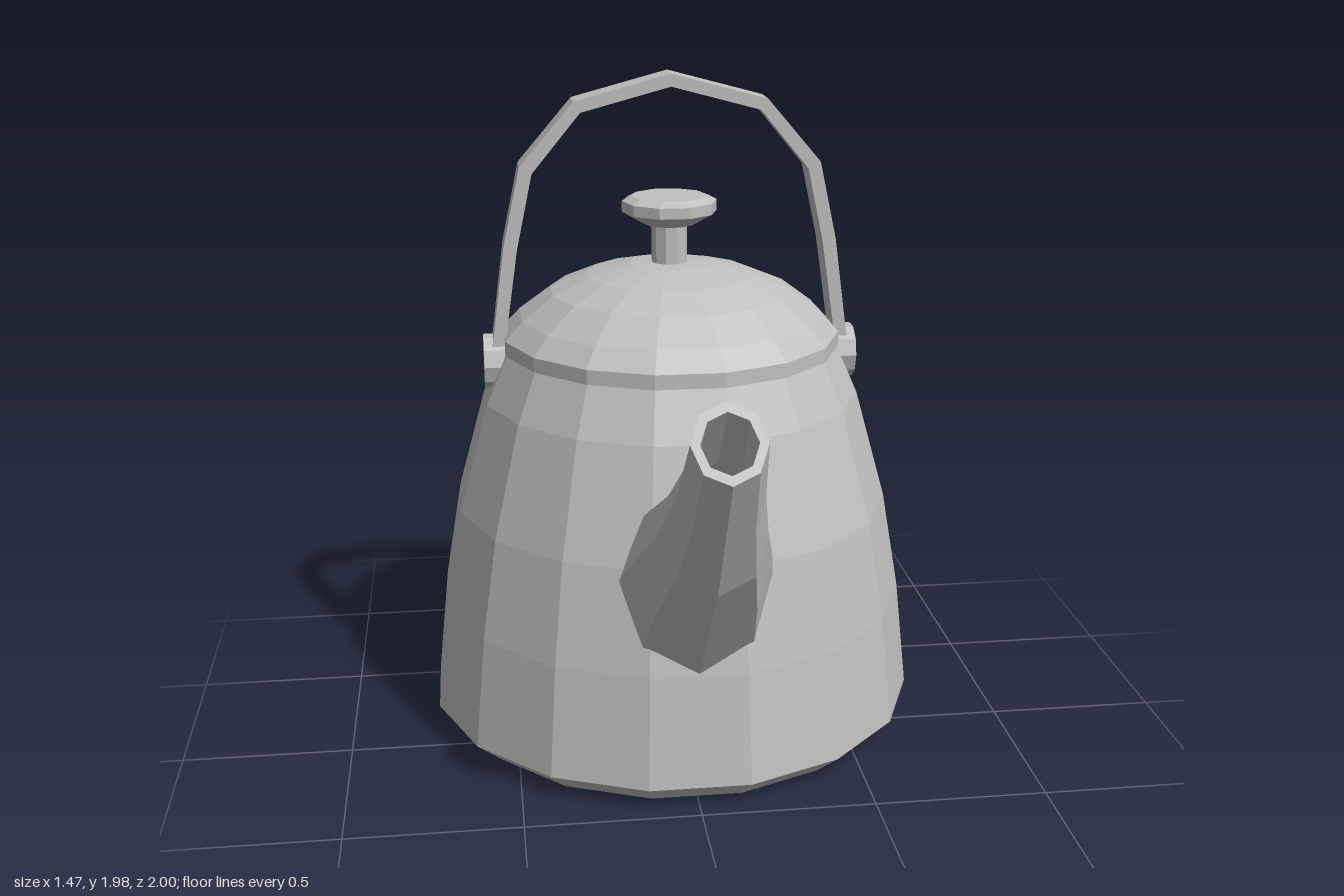
import * as THREE from 'three';

const CENTRE_Z = -0.265; // axis of the kettle body

export function createModel() {
  const group = new THREE.Group();
  const metal = new THREE.MeshStandardMaterial({ color: 0xc0c0c0, flatShading: true });
  metal.name = 'greyMetal';

  const add = (name, geometry, x = 0, y = 0, z = CENTRE_Z) => {
    const mesh = new THREE.Mesh(geometry, metal);
    mesh.name = name;
    mesh.position.set(x, y, z);
    group.add(mesh);
    return mesh;
  };

  // Lathe turned half a side, so that flats face the front
  const lathe = (profile, sides) => new THREE.LatheGeometry(
    profile.map(([r, y]) => new THREE.Vector2(r, y)), sides, Math.PI / sides);

  // Tapering body with a bevelled foot
  add('body', lathe([[0, 0], [0.67, 0], [0.75, 0.07], [0.713, 0.4], [0.66, 0.7],
    [0.567, 1.03], [0.5, 1.18], [0, 1.18]], 16));

  // Domed lid with an upright rim
  add('lid', lathe([[0, 1.174], [0.507, 1.174], [0.507, 1.217], [0.455, 1.272], [0.36, 1.343],
    [0.25, 1.39], [0.12, 1.42], [0, 1.427]], 16));

  // Lid knob on a short stem
  add('knob', lathe([[0, 1.41], [0.053, 1.41], [0.053, 1.538], [0.075, 1.538], [0.141, 1.575],
    [0.141, 1.607], [0.112, 1.622], [0, 1.622]], 10));

  // Flat strap handle, half outline mirrored
  const outer = [[0.548, 1.13], [0.532, 1.2], [0.492, 1.49], [0.441, 1.72], [0.282, 1.905]];
  const inner = [[0.51, 1.13], [0.495, 1.2], [0.453, 1.48], [0.405, 1.7], [0.262, 1.873]];
  const flip = (points) => points.map(([x, y]) => [-x, y]).reverse();
  const outline = [...outer, [0, 1.98], ...flip(outer),
    ...flip(inner).reverse(), [0, 1.943], ...[...inner].reverse()];
  const strap = new THREE.Shape(outline.map(([x, y]) => new THREE.Vector2(x, y)));
  const strapGeometry = new THREE.ExtrudeGeometry(strap, { depth: 0.106, bevelEnabled: false });
  add('handle', strapGeometry, 0, 0, CENTRE_Z - 0.053);

  // Round handle mounts on both sides
  for (const side of [1, -1]) {
    const mount = new THREE.CylinderGeometry(0.081, 0.081, 0.1, 10);
    mount.rotateZ(Math.PI / 2);
    add(side > 0 ? 'leftHandleMount' : 'rightHandleMount', mount, side * 0.51, 1.134);
  }

  add('spout', spoutGeometry(), 0, 0, 0);
  return group;
}

// Curved eight-sided spout with an open tip
function spoutGeometry() {
  const SIDES = 8;
  // Each ring: lowest z, lowest y, highest z, highest y, half width
  const rings = [
    [0.37, 0.335, 0.12, 0.81, 0.235],
    [0.604, 0.604, 0.34, 0.92, 0.193],
    [0.765, 0.786, 0.55, 1.032, 0.147],
    [0.88, 0.975, 0.733, 1.166, 0.112],
    [0.995, 1.166, 0.888, 1.342, 0.095],
  ];
  const shrink = ([z0, y0, z1, y1, w], k) => {
    const zc = (z0 + z1) / 2, yc = (y0 + y1) / 2;
    return [zc + (z0 - zc) * k, yc + (y0 - yc) * k, zc + (z1 - zc) * k, yc + (y1 - yc) * k, w * k];
  };
  // Rim, then the inside wall down to a closed end
  rings.push(shrink(rings[4], 0.75), shrink(rings[3], 0.75), shrink(rings[2], 0.75), shrink(rings[2], 0));

  const positions = [];
  const index = [];
  rings.forEach(([z0, y0, z1, y1, w], r) => {
    for (let i = 0; i < SIDES; i++) {
      const a = (i / SIDES) * Math.PI * 2;
      const t = (1 - Math.cos(a)) / 2;
      positions.push(Math.sin(a) * w, y0 + (y1 - y0) * t, z0 + (z1 - z0) * t);
      if (r === 0) continue;
      const j = (i + 1) % SIDES;
      const a0 = (r - 1) * SIDES + i, b0 = (r - 1) * SIDES + j;
      const a1 = r * SIDES + i, b1 = r * SIDES + j;
      index.push(a0, b0, b1, a0, b1, a1);
    }
  });
  const geometry = new THREE.BufferGeometry();
  geometry.setAttribute('position', new THREE.Float32BufferAttribute(positions, 3));
  geometry.setIndex(index);
  const flat = geometry.toNonIndexed();
  flat.computeVertexNormals();
  return flat;
}
